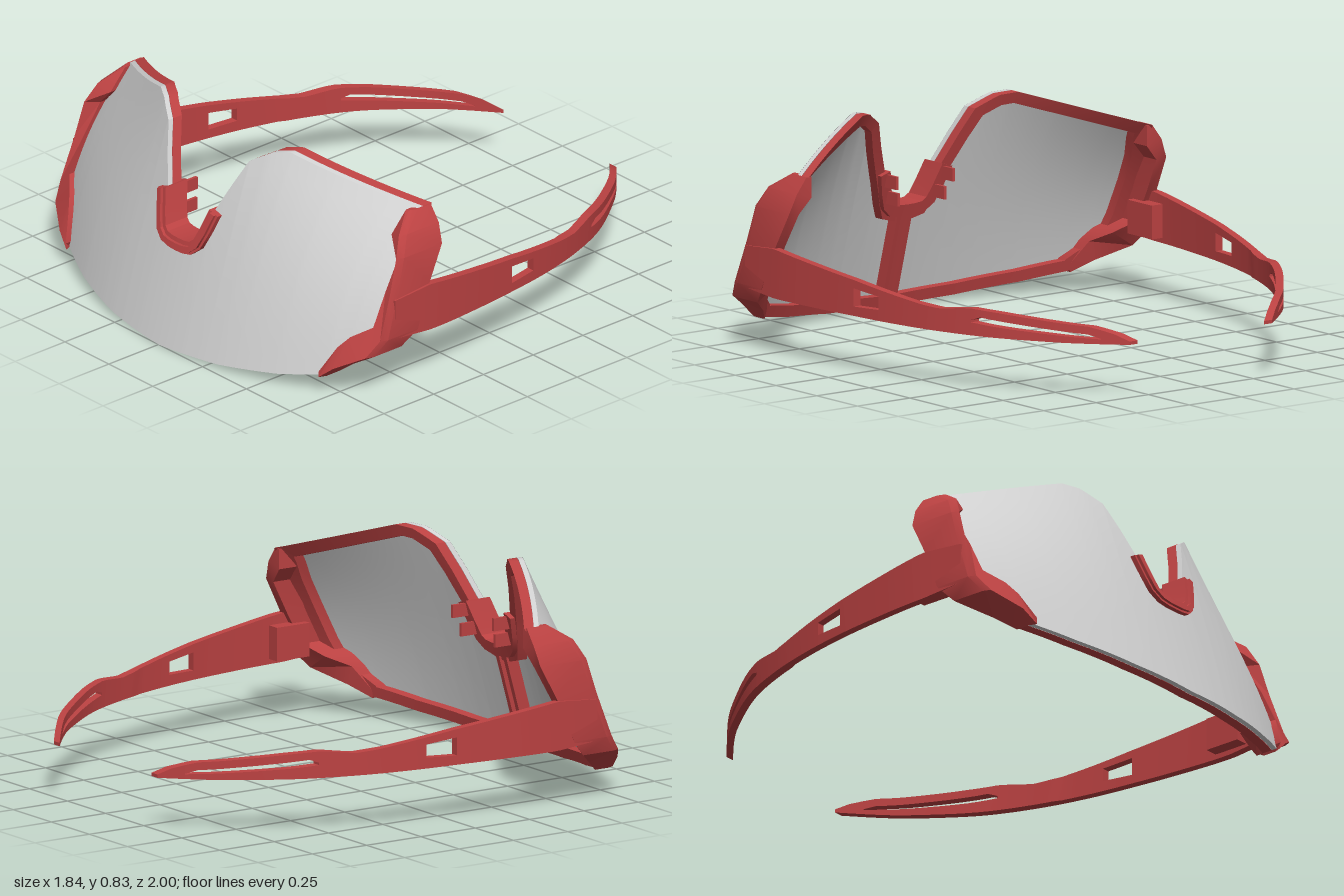
import * as THREE from 'three';
import { toCreasedNormals } from 'three/addons/utils/BufferGeometryUtils.js';

const red = new THREE.MeshStandardMaterial({ color: 0xbc4242 });
red.name = 'frame red';
const grey = new THREE.MeshStandardMaterial({ color: 0xd2d2d2, side: THREE.DoubleSide });
grey.name = 'lens grey';

// Half outlines of the shield, x to y
const TOP = [[0, .39], [.07, .4], [.12, .53], [.23, .775], [.31, .825], [.37, .835], [.82, .69], [.86, .56], [.875, .45]];
const BOTTOM = [[0, 0], [.3, .017], [.55, .047], [.72, .08], [.8, .15], [.86, .22], [.875, .3]];

// Value of a polyline at t (first column ascending)
function along(list, t) {
  for (let i = 1; i < list.length; i++) {
    const [a, va] = list[i - 1], [b, vb] = list[i];
    if (t <= b) return va + (vb - va) * (t - a) / (b - a);
  }
  return list[list.length - 1][1];
}

// Depth of the wrapped lens surface
const R = 1.65;
const surf = (x, y) => 1 - (R - Math.sqrt(R * R - x * x)) - .28 * y - .77 * x * x * y ** 3;

// Joins rings of points into a solid, either closed on itself or capped
function loft(rings, closed = false) {
  const n = rings[0].length, tris = [];
  const quad = (a, b, c, d) => tris.push(a, b, c, a, c, d);
  const last = closed ? rings.length : rings.length - 1;
  for (let i = 0; i < last; i++) {
    const p = rings[i], q = rings[(i + 1) % rings.length];
    for (let k = 0; k < n; k++) quad(p[k], p[(k + 1) % n], q[(k + 1) % n], q[k]);
  }
  if (!closed) {
    const end = rings[rings.length - 1];
    for (let k = 1; k < n - 1; k++) {
      tris.push(rings[0][0], rings[0][k + 1], rings[0][k]);
      tris.push(end[0], end[k], end[k + 1]);
    }
  }
  // Turn inside-out solids around
  let volume = 0;
  const v = tris.map(p => new THREE.Vector3(...p));
  for (let i = 0; i < v.length; i += 3) volume += v[i].dot(v[i + 1].clone().cross(v[i + 2]));
  if (volume < 0) for (let i = 0; i < v.length; i += 3) [v[i + 1], v[i + 2]] = [v[i + 2], v[i + 1]];
  const g = new THREE.BufferGeometry().setFromPoints(v);
  return toCreasedNormals(g, .5);
}

// Bar following the lens surface along a front-view path, between two depths
function band(path, left, right, front, back, closed = false) {
  const n = path.length;
  return loft(path.map(([x, y], i) => {
    const a = path[closed ? (i + n - 1) % n : Math.max(i - 1, 0)];
    const b = path[closed ? (i + 1) % n : Math.min(i + 1, n - 1)];
    const l = Math.hypot(b[0] - a[0], b[1] - a[1]);
    const nx = -(b[1] - a[1]) / l, ny = (b[0] - a[0]) / l;
    const at = (w, d) => [x + nx * w, y + ny * w, surf(x + nx * w, y + ny * w) - d];
    return [at(left, front), at(left, back), at(right, back), at(right, front)];
  }), closed);
}

export function createModel() {
  const model = new THREE.Group();
  model.name = 'sportGlasses';
  const add = (name, geometry, material = red, parent = model) => {
    const mesh = new THREE.Mesh(geometry, material);
    mesh.name = name;
    parent.add(mesh);
    return mesh;
  };

  // Columns across the shield, including every corner of the outline
  const half = new Set([...TOP, ...BOTTOM].map(p => p[0]));
  for (let x = .035; x < .85; x += .05) half.add(+x.toFixed(3));
  const pos = [...half].sort((a, b) => a - b);
  const xs = [...pos.slice(1).reverse().map(x => -x), ...pos];
  const yTop = x => along(TOP, Math.abs(x)), yBottom = x => along(BOTTOM, Math.abs(x));

  // Lens: front and back sheets with an edge between them
  const sheet = depth => {
    const g = new THREE.PlaneGeometry(1, 1, xs.length - 1, 12), p = g.attributes.position;
    for (let i = 0; i < p.count; i++) {
      const x = xs[i % xs.length];
      const y = THREE.MathUtils.lerp(yBottom(x), yTop(x), p.getY(i) + .5);
      p.setXYZ(i, x, y, surf(x, y) - depth);
    }
    g.computeVertexNormals();
    return g;
  };
  add('lensFront', sheet(0), grey);
  add('lensBack', sheet(.024), grey);
  const outline = [...xs.map(x => [x, yBottom(x)]), ...[...xs].reverse().map(x => [x, yTop(x)])];
  add('lensEdge', band(outline, .004, 0, .001, .023, true), grey);

  // Rim behind the lens and the post below the nose
  add('rim', band(outline, .045, 0, .025, .068, true));
  const post = [];
  for (let i = 0; i <= 6; i++) post.push([0, .02 + i * .062]);
  add('centrePost', band(post, .032, -.032, .025, .06));
  for (const s of [-1, 1]) {
    add('postRail', band(post.map(([, y]) => [s * .025, y]), .01, -.01, .03, .078));
  }

  // Nose piece: a U clipped over the notch, with a raised lip
  const uHalf = [[.145, .56], [.12, .48], [.098, .425], [.07, .402], [.035, .396]];
  const u = [...uHalf.map(([x, y]) => [-x, y]), [0, .395], ...[...uHalf].reverse()];
  add('nosePiece', band(u, .022, -.026, -.02, .09));
  add('noseLip', band(u, .006, -.016, -.032, -.015));

  for (const s of [-1, 1]) {
    const side = new THREE.Group();
    side.name = s > 0 ? 'leftSide' : 'rightSide';
    model.add(side);
    const flip = rings => rings.map(r => r.map(([x, y, z]) => [s * x, y, z]));

    // Nose pad fins
    for (const [x, y] of [[.135, .53], [.112, .46]]) {
      add('noseFin', new THREE.BoxGeometry(.012, .05, .11), red, side).position.set(s * x, y, surf(x, y) - .1);
    }

    // Side clip gripping the lens: inner x, y, outer x, y, front z, back z
    const clip = [
      [.8, .69, .825, .69, .46, .36], [.8, .61, .87, .63, .55, .36], [.853, .55, .9, .555, .59, .37],
      [.863, .42, .91, .42, .63, .44], [.865, .29, .922, .25, .69, .51], [.8, .245, .895, .185, .74, .57],
      [.765, .2, .79, .125, .81, .67], [.72, .1, .73, .075, .83, .74],
    ];
    add('sideClip', loft(flip(clip.map(([xi, yi, xo, yo, zf, zb]) => [
      [xi, yi, surf(xi, yi) + .025], [xo - .012, yo, zf], [xo, yo, zf - .03], [xo, yo, zb], [xi, yi, zb],
    ]))), red, side);

    // Hinge block behind the clip
    add('hinge', new THREE.BoxGeometry(.06, .13, .15), red, side).position.set(s * .865, .31, .45);

    // Temple arm: outer x, top y and bottom y, each along -z
    const outer = new THREE.SplineCurve([[-.62, .917], [-.4, .92], [-.2, .905], [0, .88], [.2, .843], [.4, .785],
      [.6, .695], [.8, .55], [.9, .455], [1, .34]].map(p => new THREE.Vector2(...p))).getPoints(90).map(p => [p.x, p.y]);
    const top = [[-.62, .4], [-.44, .415], [0, .36], [.32, .31], [.4, .302], [.52, .317], [.62, .308], [.9, .27], [.96, .245], [1, .215]];
    const low = [[-.62, .24], [-.44, .225], [0, .222], [.52, .213], [1, .202]];
    const arm = (name, from, to, lo, hi) => {
      const rings = [], n = Math.max(2, Math.ceil((to - from) / .035));
      for (let i = 0; i <= n; i++) {
        const t = from + (to - from) * i / n, x = along(outer, t), w = t < .3 ? .032 : .038;
        const a = lo(t), b = hi(t);
        rings.push([[x, a, -t], [x, b, -t], [x - w, b, -t], [x - w, a, -t]]);
      }
      add(name, loft(flip(rings)), red, side);
    };
    const yt = t => along(top, t), yl = t => along(low, t);
    arm('templeFront', -.62, 0, yl, yt);
    arm('windowLowerBar', 0, .125, yl, t => .258 + .03 * t);
    arm('windowUpperBar', 0, .125, t => .328 - .12 * t, yt);
    arm('templeMiddle', .125, .53, yl, yt);
    // Long tapering slot near the tip
    arm('slotLowerBar', .53, .93, yl, t => along([[.53, .263], [.62, .252], [.93, .222]], t));
    arm('slotUpperBar', .53, .93, t => along([[.53, .272], [.56, .285], [.9, .24], [.93, .224]], t), yt);
    arm('templeTip', .93, 1, yl, yt);
  }
  return model;
}
